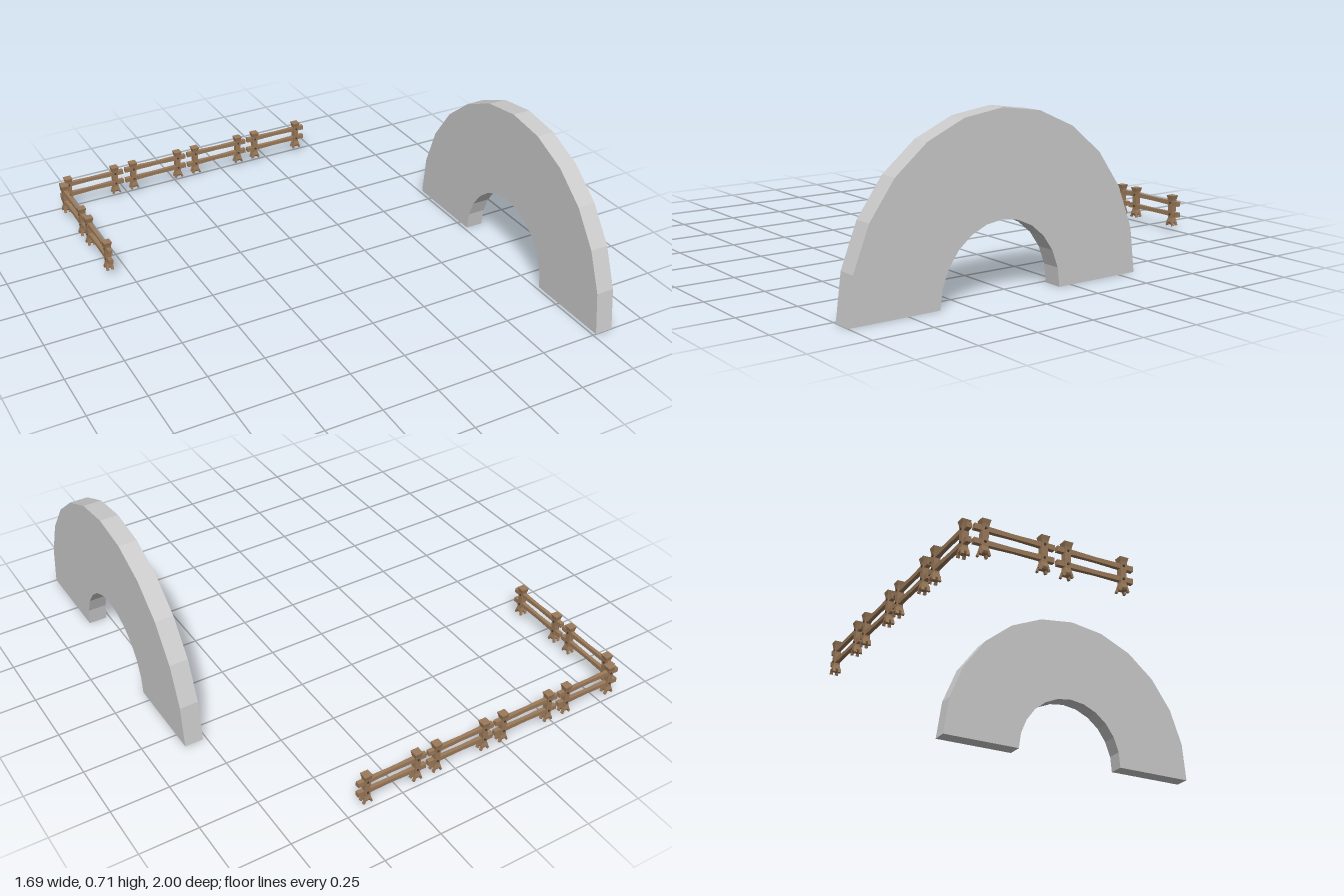
import * as THREE from 'three';

const grey = new THREE.MeshStandardMaterial({ color: 0xcccccc, flatShading: true });
const wood = new THREE.MeshStandardMaterial({ color: 0x9b7a5a, flatShading: true, side: THREE.DoubleSide });
const iron = new THREE.MeshStandardMaterial({ color: 0x4a3a30, flatShading: true });

function part(parent, name, geometry, material, x = 0, y = 0, z = 0) {
  const mesh = new THREE.Mesh(geometry, material);
  mesh.name = name;
  mesh.position.set(x, y, z);
  parent.add(mesh);
  return mesh;
}

// Half-ring slab, faceted, standing in the z-y plane
function archGeometry() {
  const thickness = 0.08, steps = 12;
  const arc = (rx, ry) => Array.from({ length: steps + 1 }, (_, i) => {
    const a = Math.PI * i / steps;
    return new THREE.Vector2(rx * Math.cos(a), ry * Math.sin(a));
  });
  const shape = new THREE.Shape([...arc(0.665, 0.71), ...arc(0.278, 0.297).reverse()]);
  const geometry = new THREE.ExtrudeGeometry(shape, { depth: thickness, bevelEnabled: false });
  geometry.translate(0, 0, -thickness / 2);
  return geometry.rotateY(Math.PI / 2);
}

// Square post: flared head, slim shaft, spreading foot
function postGeometry() {
  const profile = [[0, 0.036], [0.012, 0.036], [0.016, 0.044], [0.012, 0.062],
    [0.0125, 0.135], [0.014, 0.148], [0.018, 0.165], [0, 0.165]];
  const points = profile.map(([half, y]) => new THREE.Vector2(half * Math.SQRT2, y));
  return new THREE.LatheGeometry(points, 4, Math.PI / 4);
}

// Rail along x, slimmer in the middle
function railGeometry() {
  const geometry = new THREE.BoxGeometry(0.312, 0.021, 0.019, 4, 1, 1);
  const p = geometry.attributes.position;
  for (let i = 0; i < p.count; i++) {
    const taper = 0.78 + 0.22 * Math.abs(p.getX(i)) / 0.156;
    p.setY(i, p.getY(i) * taper);
    p.setZ(i, p.getZ(i) * taper);
  }
  return geometry;
}

const post = postGeometry();
const rail = railGeometry();
const bolt = new THREE.CylinderGeometry(0.005, 0.005, 0.03, 6).rotateX(Math.PI / 2);
const toe = new THREE.BoxGeometry(0.008, 0.022, 0.011);

// One panel: two posts, two rails, bolts and splayed toes
function fencePanel(name) {
  const panel = new THREE.Group();
  panel.name = name;
  [0.079, 0.131].forEach((y, i) => {
    const r = part(panel, i ? 'upperRail' : 'lowerRail', rail, wood, 0, y, 0);
    r.rotation.z = i ? -0.008 : 0.008;
  });
  for (const x of [-0.115, 0.115]) {
    part(panel, 'post', post, wood, x);
    for (const y of [0.079, 0.131]) part(panel, 'bolt', bolt, iron, x, y, 0);
    for (const sx of [-1, 1]) for (const sz of [-1, 1]) {
      const t = part(panel, 'postToe', toe, wood, x + sx * 0.014, 0.038, sz * 0.011);
      t.rotation.z = sx * 0.35;
    }
  }
  return panel;
}

export function createModel() {
  const model = new THREE.Group();
  model.name = 'archAndFence';

  part(model, 'arch', archGeometry(), grey, 0.805, 0, 0.335);

  // Back row of panels
  for (let i = 0; i < 4; i++) {
    const panel = fencePanel('backFencePanel');
    panel.position.set(-0.677 + i * 0.3235, 0, -0.981);
    model.add(panel);
  }
  // Side row, turned a quarter
  for (let i = 0; i < 2; i++) {
    const panel = fencePanel('sideFencePanel');
    panel.position.set(-0.829, 0, -0.808 + i * 0.3235);
    panel.rotation.y = -Math.PI / 2;
    model.add(panel);
  }
  return model;
}
